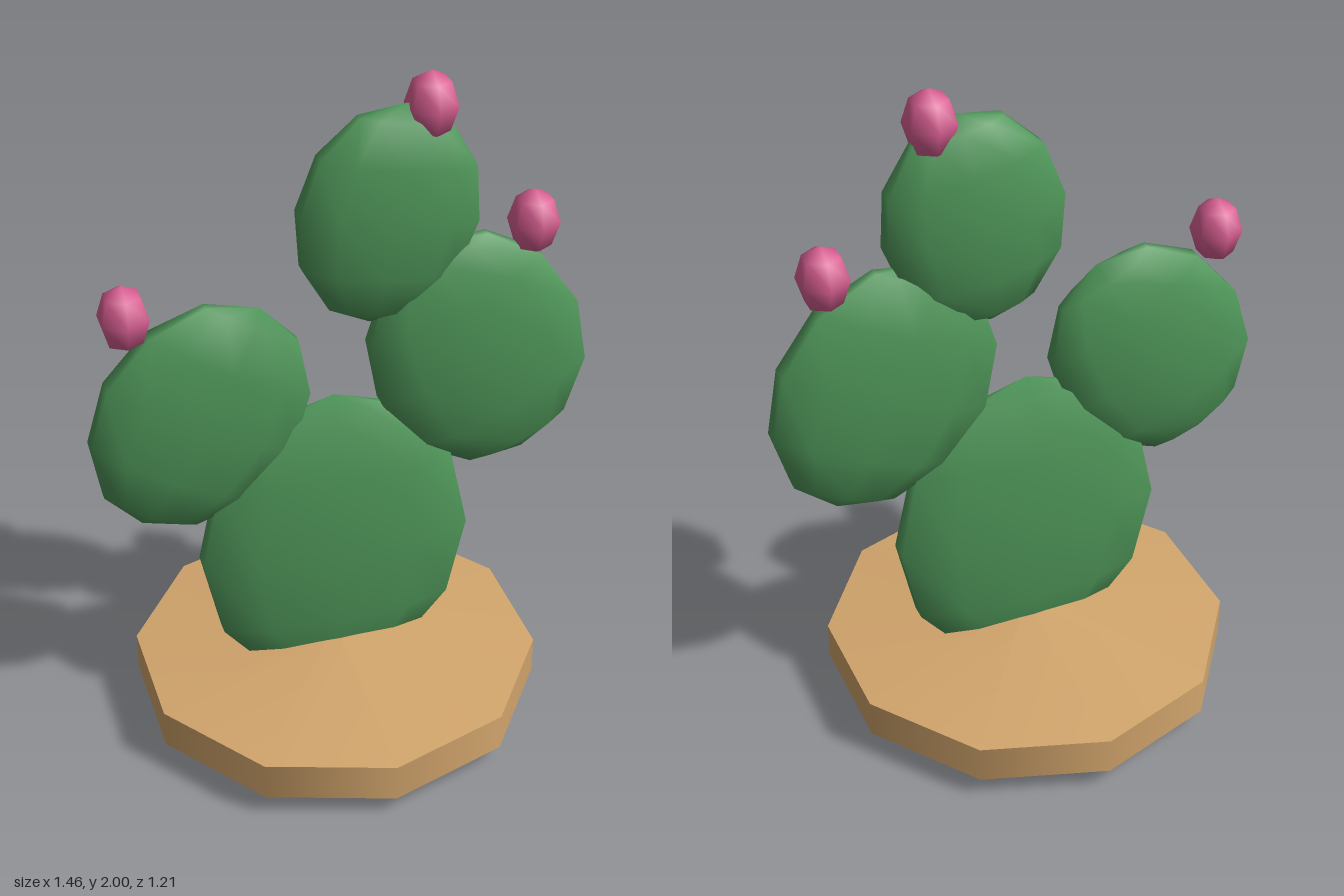
import * as THREE from 'three';

const green = new THREE.MeshStandardMaterial({ color: 0x4f9659 });
green.name = 'cactusGreen';
const pink = new THREE.MeshStandardMaterial({ color: 0xdb6094 });
pink.name = 'fruitPink';
const sand = new THREE.MeshStandardMaterial({ color: 0xd2a56c });
sand.name = 'sand';

// Low-poly ellipsoid with its first column of vertices facing z
function ellipsoid(name, material, columns, rings, center, radii, tilt = 0) {
  const geometry = new THREE.SphereGeometry(1, columns, rings);
  geometry.rotateY(Math.PI / 2);
  geometry.scale(...radii);
  const mesh = new THREE.Mesh(geometry, material);
  mesh.name = name;
  mesh.position.set(...center);
  mesh.rotation.z = tilt;
  return mesh;
}

export function createModel() {
  const model = new THREE.Group();
  model.name = 'cactus';

  // Ten-sided sand disc with shallow conical top and bottom, sharp rims
  const base = new THREE.Group();
  base.name = 'base';
  base.position.x = -0.026;
  const profile = [[0, 0], [0.605, 0.062], [0.605, 0.178], [0, 0.234]]
    .map(([r, y]) => new THREE.Vector2(r, y));
  ['baseBottom', 'baseRim', 'baseTop'].forEach((name, i) => {
    const part = new THREE.Mesh(new THREE.LatheGeometry(profile.slice(i, i + 2), 10), sand);
    part.name = name;
    base.add(part);
  });
  model.add(base);

  // Flat pads: name, center x, y, half width, half height, tilt
  const pads = [
    ['trunkPad', -0.026, 0.553, 0.423, 0.502, 0],
    ['rightPad', -0.415, 1.05, 0.311, 0.367, -0.51],
    ['leftPad', 0.4, 1.13, 0.331, 0.39, 0.4],
    ['topPad', 0.127, 1.595, 0.27, 0.325, -0.155],
  ];
  for (const [name, x, y, rx, ry, tilt] of pads) {
    model.add(ellipsoid(name, green, 10, 6, [x, y, 0], [rx, ry, 0.091], tilt));
  }

  // Pink fruits
  const fruits = [
    ['rightFruit', -0.61, 1.4],
    ['leftFruit', 0.553, 1.515],
    ['topFruit', 0.244, 1.902],
  ];
  for (const [name, x, y] of fruits) {
    model.add(ellipsoid(name, pink, 6, 4, [x, y, 0], [0.075, 0.098, 0.075]));
  }

  return model;
}
